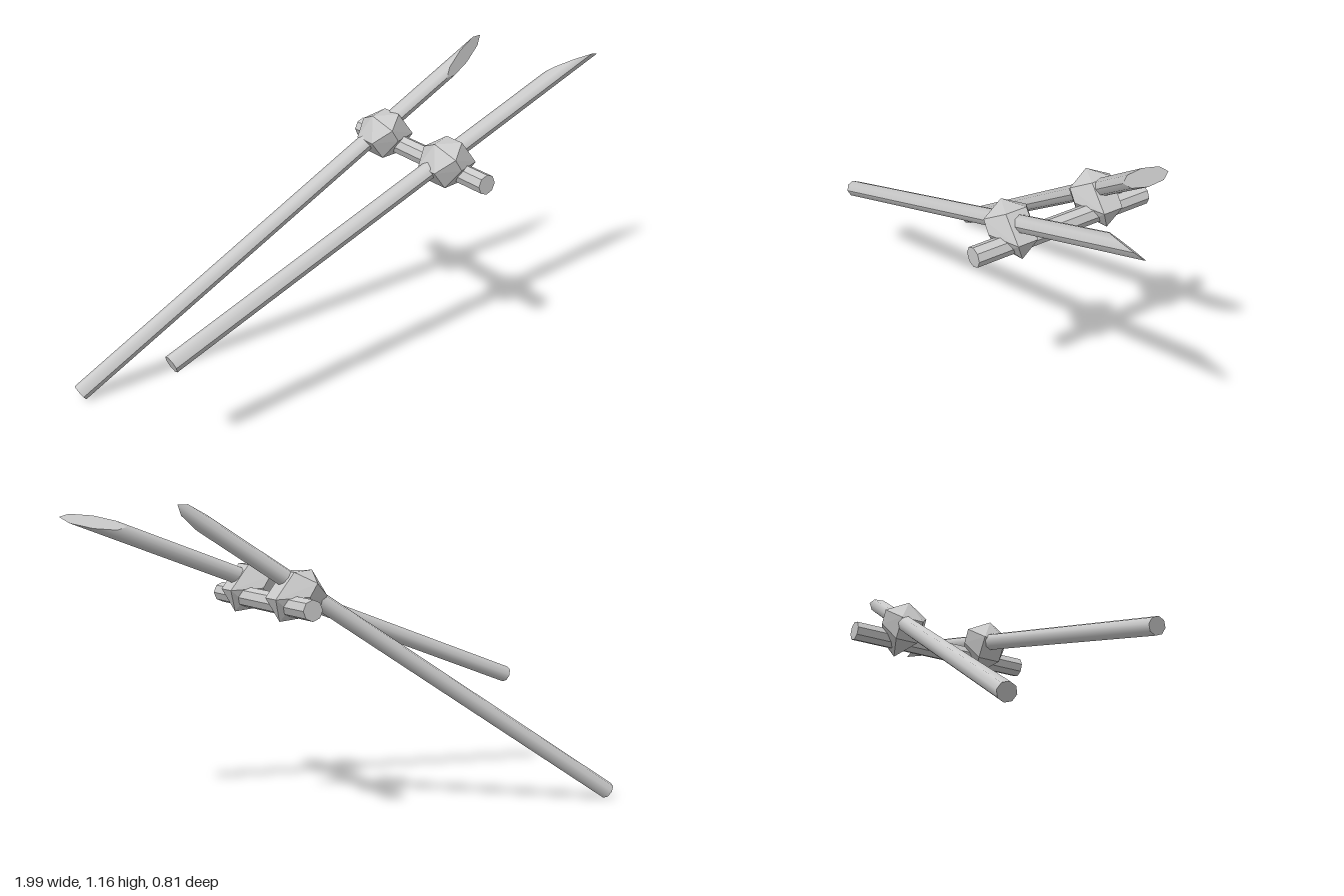
import * as THREE from 'three';
import { ConvexGeometry } from 'three/addons/geometries/ConvexGeometry.js';

const flat = new THREE.MeshStandardMaterial({ color: 0xcccccc, flatShading: true });
const smooth = new THREE.MeshStandardMaterial({ color: 0xcccccc });

// Round pole whose upper end is cut by a slanted plane.
// start: lower end, run: direction per unit x, length: up to the middle of the cut,
// rise: half length of the cut, tip: side of the point as [down, front]
function makePole(name, start, run, length, rise, tip) {
  const radius = 0.0325;
  const geometry = new THREE.CylinderGeometry(radius, radius, length, 8);
  geometry.translate(0, length / 2, 0);
  const p = geometry.attributes.position;
  for (let i = 0; i < p.count; i++) {
    if (p.getY(i) < length / 2) continue;
    p.setY(i, length + rise * (p.getX(i) * tip[0] + p.getZ(i) * tip[1]) / radius);
  }
  geometry.computeVertexNormals();

  const along = new THREE.Vector3(...run).normalize();
  const front = new THREE.Vector3(0, 0, 1).addScaledVector(along, -along.z).normalize();
  const down = new THREE.Vector3().crossVectors(along, front);
  geometry.applyMatrix4(new THREE.Matrix4().makeBasis(down, along, front));

  const mesh = new THREE.Mesh(geometry, smooth);
  mesh.name = name;
  mesh.position.set(...start);
  return mesh;
}

// Faceted knot, symmetric front to back
function makeKnot(name, z) {
  const half = [
    [0.288, 0.923, 0.042], [0.22, 0.885, 0.088], [0.25, 0.838, 0.088],
    [0.36, 0.83, 0.04], [0.31, 0.79, 0.042], [0.158, 0.835, 0.045], [0.21, 0.766, 0.045],
  ];
  const points = [[0.195, 0.925, 0], [0.325, 0.747, 0]].map((v) => new THREE.Vector3(...v));
  for (const [x, y, d] of half) {
    for (const side of [-1, 1]) points.push(new THREE.Vector3(x, y, side * d));
  }
  const mesh = new THREE.Mesh(new ConvexGeometry(points), flat);
  mesh.name = name;
  mesh.position.z = z;
  return mesh;
}

export function createModel() {
  const group = new THREE.Group();
  group.name = 'lashedPoles';

  // Two pointed poles
  group.add(makePole('frontPole', [-0.92, 0.41, 0.222], [1, 0.382, 0], 1.918, 0.115, [0.707, 0.707]));
  group.add(makePole('backPole', [-0.982, 0.029, -0.373], [1, 0.68, 0.19], 1.925, 0.11, [0, -1]));

  // Knots where the poles meet the crossbar
  group.add(makeKnot('frontKnot', 0.228));
  group.add(makeKnot('backKnot', -0.134));

  // Crossbar joining the knots
  const bar = new THREE.Mesh(new THREE.CylinderGeometry(0.038, 0.038, 0.725, 8), flat);
  bar.name = 'crossbar';
  bar.rotation.x = Math.PI / 2;
  bar.position.set(0.292, 0.803, 0.043);
  group.add(bar);

  return group;
}
